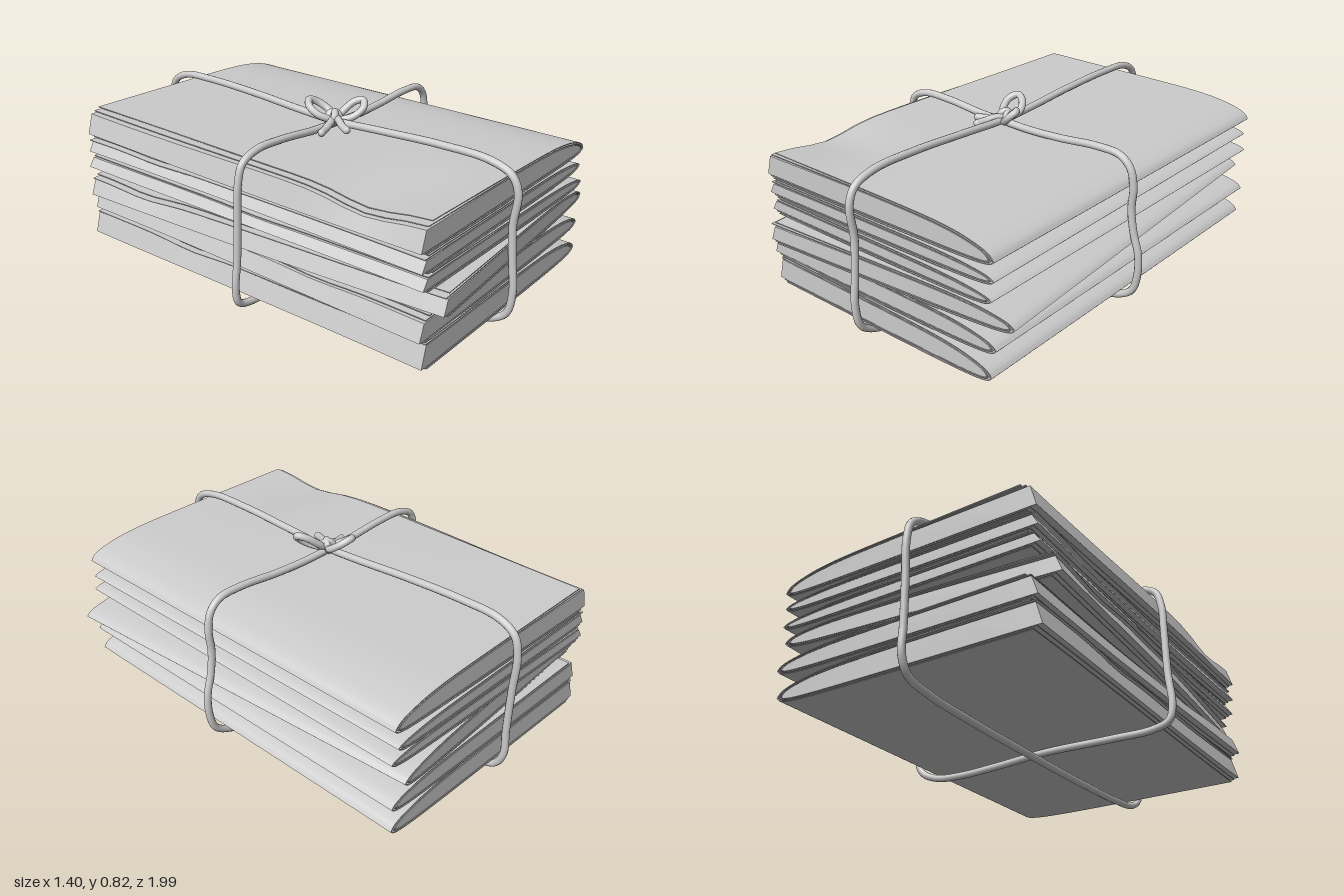
import * as THREE from 'three';
import { toCreasedNormals } from 'three/addons/utils/BufferGeometryUtils.js';

const material = new THREE.MeshStandardMaterial({ color: 0xcccccc, side: THREE.DoubleSide });
const V = (x, y, z) => new THREE.Vector3(x, y, z);
const LENGTH = 1.85;
const CORD = 0.0165;

// Rise of a folded sheet (upper and lower half) against distance from the fold
const DIST = [0, 0.012, 0.035, 0.08, 0.16, 0.3, 0.6, 1];
const UPPER = [0, 0.22, 0.4, 0.58, 0.78, 0.92, 1.02, 1.13];
const LOWER = [0, 0.4, 0.66, 0.84, 0.95, 1, 0.98, 0.9];

// Half of a folded profile, from the fold to the open edge
function halfProfile(foldX, foldY, height, rise, openX) {
  const span = foldX - openX;
  const pts = DIST.map((d, i) => new THREE.Vector2(foldX - d * span, foldY + rise[i] * height));
  return new THREE.SplineCurve(pts).getPoints(28);
}

// Open edge to fold to open edge, moved inwards by inset
function foldedProfile(p, inset, topX, bottomX) {
  const x = p.fold - inset * 1.6;
  const up = halfProfile(x, p.y, p.up - inset, UPPER, topX);
  const down = halfProfile(x, p.y, -(p.down - inset), LOWER, bottomX);
  return [...up.reverse(), ...down.slice(1)];
}

// Extrude along z, then ripple the loose edge
function pageGeometry(points, p, wave, phase) {
  const geo = new THREE.ExtrudeGeometry(new THREE.Shape(points), { depth: LENGTH, steps: 20, bevelEnabled: false });
  geo.translate(0, 0, -LENGTH / 2);
  const pos = geo.attributes.position;
  for (let i = 0; i < pos.count; i++) {
    const x = pos.getX(i), y = pos.getY(i), z = pos.getZ(i);
    const loose = THREE.MathUtils.smoothstep(-x, 0.05, 0.6);
    const top = THREE.MathUtils.clamp((y - p.y) / p.up, 0, 1);
    const dip = Math.exp(-(((z - p.dip) / 0.17) ** 2)) * p.sag;
    pos.setY(i, y - loose * top * (dip + wave * (1 + Math.sin(z * 4 + phase))));
    pos.setX(i, x + loose * 0.012 * Math.sin(z * 1.7 + phase));
  }
  return toCreasedNormals(geo, 0.6);
}

function createPaper(p, index) {
  const paper = new THREE.Group();
  paper.name = `foldedPaper${index + 1}`;
  const add = (geo, name) => {
    const mesh = new THREE.Mesh(geo, material);
    mesh.name = name;
    paper.add(mesh);
  };
  // Thin outer sheets, each open edge stepped back from the one inside
  const edges = [[-0.565, -0.595], [-0.59, -0.61]];
  edges.forEach(([topX, bottomX], k) => {
    const inset = k * 0.0085;
    const outer = foldedProfile(p, inset, topX - p.shift, bottomX);
    const inner = foldedProfile(p, inset + 0.0035, topX - p.shift, bottomX);
    add(pageGeometry([...outer, ...inner.reverse()], p, 0.002 * k, index * 2), k ? 'secondSheet' : 'coverSheet');
  });
  // Closed bundle of inner pages
  const bundle = foldedProfile(p, 0.0155, -0.605, -0.632);
  add(pageGeometry(bundle, p, 0.004, index * 2 + 0.4), 'innerPages');
  paper.position.z = p.z;
  paper.rotation.y = p.turn;
  return paper;
}

function tube(points, name, closed = false, radius = CORD, segments = 48) {
  const curve = new THREE.CatmullRomCurve3(points, closed, 'centripetal');
  const mesh = new THREE.Mesh(new THREE.TubeGeometry(curve, segments, radius, 12, closed), material);
  mesh.name = name;
  return mesh;
}

// Cord tail with a closed tip
function tail(points, name) {
  const group = new THREE.Group();
  group.name = name;
  group.add(tube(points, 'tailCord', false, CORD, 20));
  const tip = new THREE.Mesh(new THREE.SphereGeometry(CORD, 12, 8), material);
  tip.name = 'tailTip';
  tip.position.copy(points[points.length - 1]);
  group.add(tip);
  return group;
}

function createCord() {
  const cord = new THREE.Group();
  cord.name = 'cord';
  // Loop across the width
  const across = [
    [-0.06, 0.72], [-0.2, 0.725], [-0.4, 0.745], [-0.55, 0.745], [-0.63, 0.71], [-0.657, 0.63],
    [-0.663, 0.5], [-0.67, 0.3], [-0.683, 0.15], [-0.665, 0.085], [-0.59, 0.06], [-0.4, 0.06],
    [-0.06, 0.068], [0.2, 0.055], [0.4, 0.05], [0.55, 0.065], [0.64, 0.115], [0.668, 0.2],
    [0.667, 0.3], [0.64, 0.4], [0.627, 0.5], [0.633, 0.6], [0.615, 0.68], [0.565, 0.725],
    [0.45, 0.735], [0.25, 0.72], [0.08, 0.715],
  ].map(([x, y]) => V(x, y, 0.042 + x * 0.014 + (y - 0.4) * 0.025));
  cord.add(tube(across, 'crossCord', true, CORD, 220));
  // Loop along the length
  const along = [
    [0.05, 0.73], [0.3, 0.742], [0.6, 0.755], [0.83, 0.748], [0.93, 0.71], [0.962, 0.64],
    [0.95, 0.5], [0.96, 0.35], [0.973, 0.2], [0.95, 0.1], [0.87, 0.05], [0.7, 0.03],
    [0.4, 0.02], [0, 0.0168], [-0.5, 0.02], [-0.8, 0.032], [-0.93, 0.06], [-0.972, 0.13],
    [-0.972, 0.25], [-0.977, 0.45], [-0.984, 0.62], [-0.96, 0.71], [-0.88, 0.755],
    [-0.7, 0.765], [-0.4, 0.755], [-0.15, 0.738],
  ].map(([z, y]) => V(-0.06, y, z));
  cord.add(tube(along, 'lengthCord', true, CORD, 240));
  return cord;
}

function createBow() {
  const bow = new THREE.Group();
  bow.name = 'bow';
  bow.add(tube([
    V(-0.06, 0.735, 0.04), V(-0.025, 0.755, -0.005), V(-0.045, 0.79, -0.055), V(-0.085, 0.808, -0.072),
    V(-0.115, 0.79, -0.045), V(-0.11, 0.76, 0.0), V(-0.07, 0.735, 0.045),
  ], 'backLoop'));
  bow.add(tube([
    V(-0.05, 0.735, 0.05), V(-0.01, 0.765, 0.06), V(0.035, 0.8, 0.085), V(0.058, 0.808, 0.115),
    V(0.038, 0.785, 0.135), V(-0.005, 0.75, 0.115), V(-0.05, 0.73, 0.06),
  ], 'frontLoop'));
  bow.add(tail([V(-0.05, 0.745, 0.045), V(-0.1, 0.735, 0.06), V(-0.15, 0.723, 0.073), V(-0.19, 0.72, 0.084)], 'leftTail'));
  bow.add(tail([V(-0.05, 0.745, 0.05), V(-0.08, 0.745, 0.09), V(-0.105, 0.735, 0.13), V(-0.12, 0.73, 0.165)], 'frontTail'));
  // Wraps of the knot
  [[0.3, 0.8], [-0.5, -0.7]].forEach(([tilt, turn]) => {
    const wrap = new THREE.Mesh(new THREE.TorusGeometry(0.024, CORD, 10, 24), material);
    wrap.name = 'knotWrap';
    wrap.position.set(-0.06, 0.745, 0.045);
    wrap.rotation.set(tilt, turn, 0);
    bow.add(wrap);
  });
  return bow;
}

export function createModel() {
  const model = new THREE.Group();
  model.name = 'tiedPaperBundle';
  // Fold position, heights above and below the fold, placement and edge sag
  const papers = [
    { fold: 0.612, y: 0.125, up: 0.085, down: 0.035, z: -0.01, turn: 0, shift: 0.02, dip: -0.3, sag: 0.015 },
    { fold: 0.625, y: 0.245, up: 0.07, down: 0.033, z: -0.015, turn: 0.004, shift: 0.01, dip: 0.4, sag: 0.012 },
    { fold: 0.637, y: 0.35, up: 0.065, down: 0.033, z: 0.005, turn: 0.068, shift: 0.03, dip: -0.6, sag: 0.018 },
    { fold: 0.62, y: 0.452, up: 0.042, down: 0.03, z: -0.012, turn: -0.004, shift: 0.01, dip: 0.1, sag: 0.008 },
    { fold: 0.612, y: 0.526, up: 0.045, down: 0.03, z: -0.02, turn: 0.006, shift: 0.03, dip: -0.5, sag: 0.01 },
    { fold: 0.622, y: 0.608, up: 0.09, down: 0.029, z: -0.018, turn: 0, shift: 0, dip: 0.65, sag: 0.035 },
  ];
  papers.forEach((p, i) => model.add(createPaper(p, i)));
  model.add(createCord(), createBow());
  return model;
}
